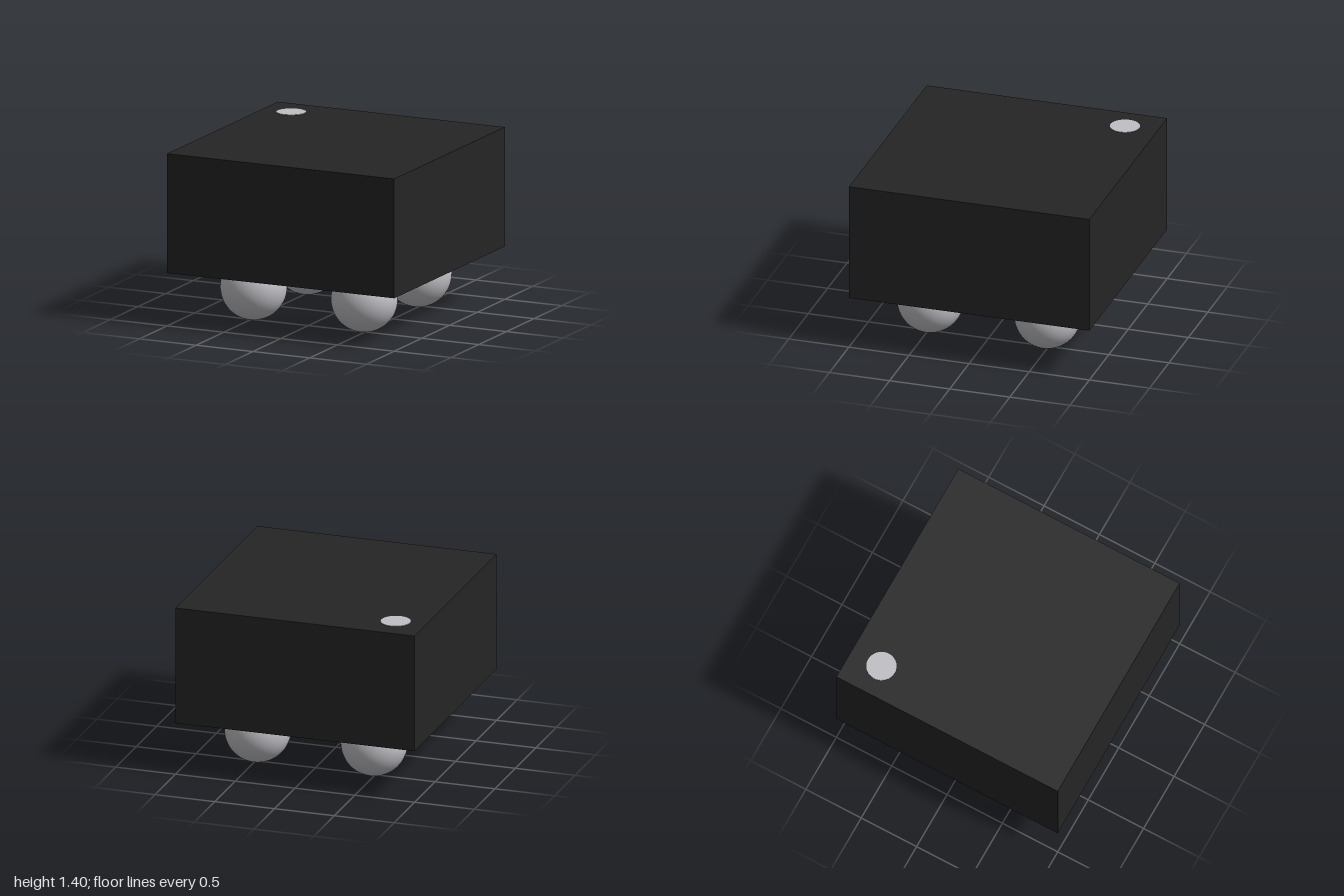
import * as THREE from 'three';

export function createModel() {
  const group = new THREE.Group();
  const black = new THREE.MeshStandardMaterial({ color: 0x252525 });
  black.name = 'blackBody';
  const silver = new THREE.MeshStandardMaterial({ color: 0xc0c0c5 });
  silver.name = 'silverMetal';

  const add = (name, geometry, material, x, y, z) => {
    const mesh = new THREE.Mesh(geometry, material);
    mesh.name = name;
    mesh.position.set(x, y, z);
    group.add(mesh);
  };

  // Package body
  const bottom = 0.43, top = 1.4;
  add('body', new THREE.BoxGeometry(2, top - bottom, 2), black, 0, (top + bottom) / 2, 0);

  // Round corner marker, almost flush with the top
  add('cornerMarker', new THREE.CylinderGeometry(0.12, 0.12, 0.008, 48), silver, -0.75, top, -0.73);

  // Four contact balls, partly sunk into the underside
  const radius = 0.266, ball = new THREE.SphereGeometry(radius, 48, 32);
  for (const x of [-0.487, 0.487]) {
    for (const z of [-0.487, 0.487]) {
      add(`${z > 0 ? 'front' : 'back'}${x > 0 ? 'Left' : 'Right'}Ball`, ball, silver, x, radius, z);
    }
  }
  return group;
}
